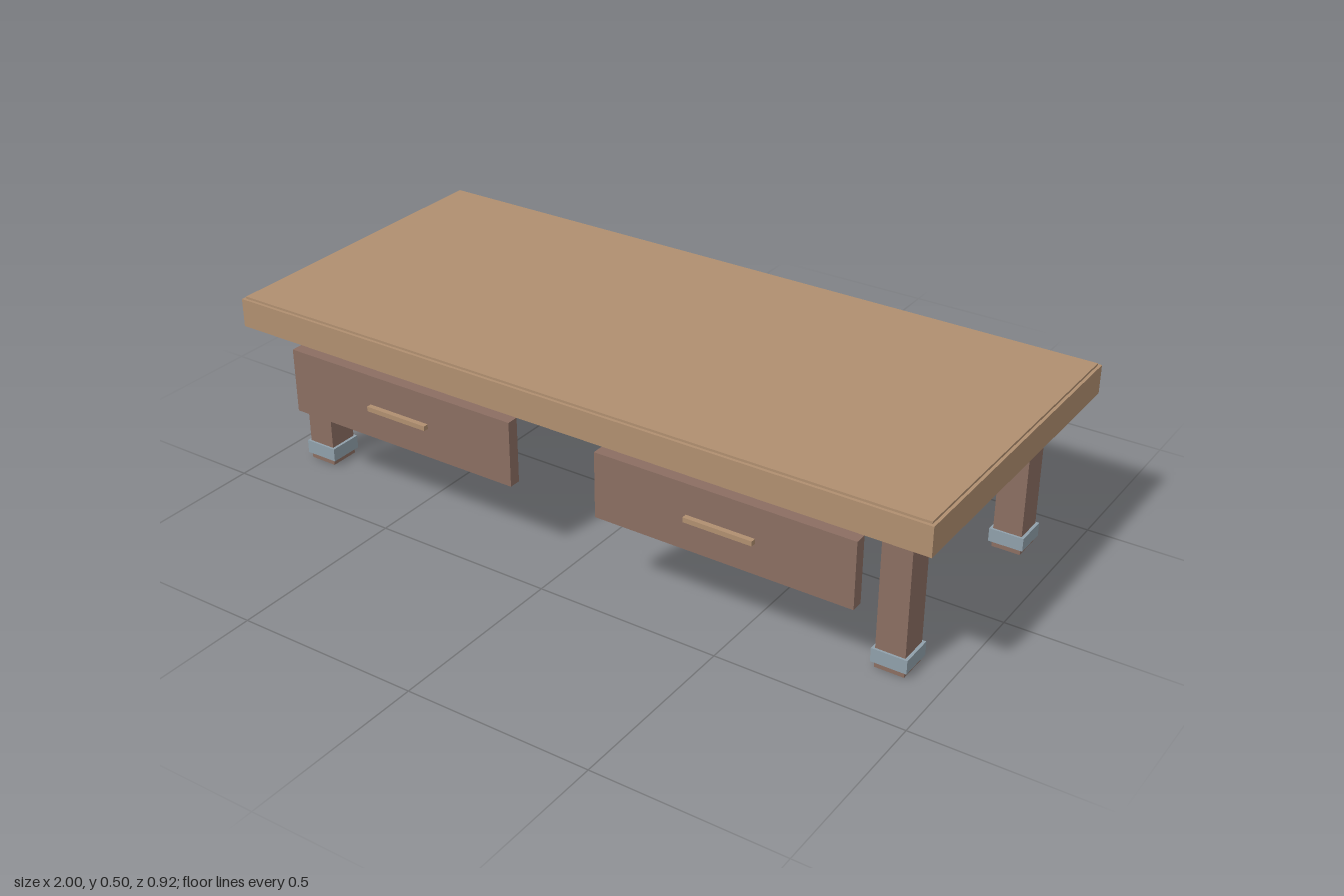
import * as THREE from 'three';

const material = (name, color) => {
  const m = new THREE.MeshStandardMaterial({ color });
  m.name = name;
  return m;
};

export function createModel() {
  const group = new THREE.Group();
  const lightWood = material('light wood', 0xb08f70);
  const darkWood = material('dark wood', 0x8b6e62);
  const metal = material('blue grey metal', 0x90a0aa);

  // A box given by its lower and upper limits on each axis
  const box = (name, mat, [x0, x1], [y0, y1], [z0, z1], parent = group) => {
    const mesh = new THREE.Mesh(new THREE.BoxGeometry(x1 - x0, y1 - y0, z1 - z0), mat);
    mesh.position.set((x0 + x1) / 2, (y0 + y1) / 2, (z0 + z1) / 2);
    mesh.name = name;
    parent.add(mesh);
  };
  const mirror = ([a, b], side) => (side > 0 ? [a, b] : [-b, -a]);

  // Table top: thick slab, thin inset surface and the frame below
  box('tableTop', lightWood, [-1, 1], [0.416, 0.494], [-0.457, 0.438]);
  box('topSurface', lightWood, [-0.992, 0.992], [0.494, 0.5], [-0.449, 0.43]);
  box('underFrame', darkWood, [-0.973, 0.973], [0.4, 0.416], [-0.43, 0.412]);

  // Rail behind the back legs
  box('backRail', darkWood, [-0.7, 0.7], [0.285, 0.323], [-0.447, -0.375]);

  for (const side of [1, -1]) {
    const label = side > 0 ? 'left' : 'right';

    // Legs with metal cuffs near the floor
    for (const [end, z] of [['Front', 0.289], ['Back', -0.334]]) {
      const leg = new THREE.Group();
      leg.name = `${label}${end}Leg`;
      group.add(leg);
      box('legPost', darkWood, mirror([0.828, 0.906], side), [0, 0.4], [z - 0.041, z + 0.041], leg);
      box('legCuff', metal, mirror([0.82, 0.914], side), [0.016, 0.053], [z - 0.047, z + 0.047], leg);
    }

    // Drawer front with a bar handle
    const drawer = new THREE.Group();
    drawer.name = `${label}Drawer`;
    group.add(drawer);
    box('drawerFront', darkWood, mirror([0.126, 0.826], side), [0.221, 0.399], [0.413, 0.445], drawer);
    box('drawerHandle', lightWood, mirror([0.383, 0.569], side), [0.303, 0.316], [0.445, 0.459], drawer);
  }

  return group;
}
